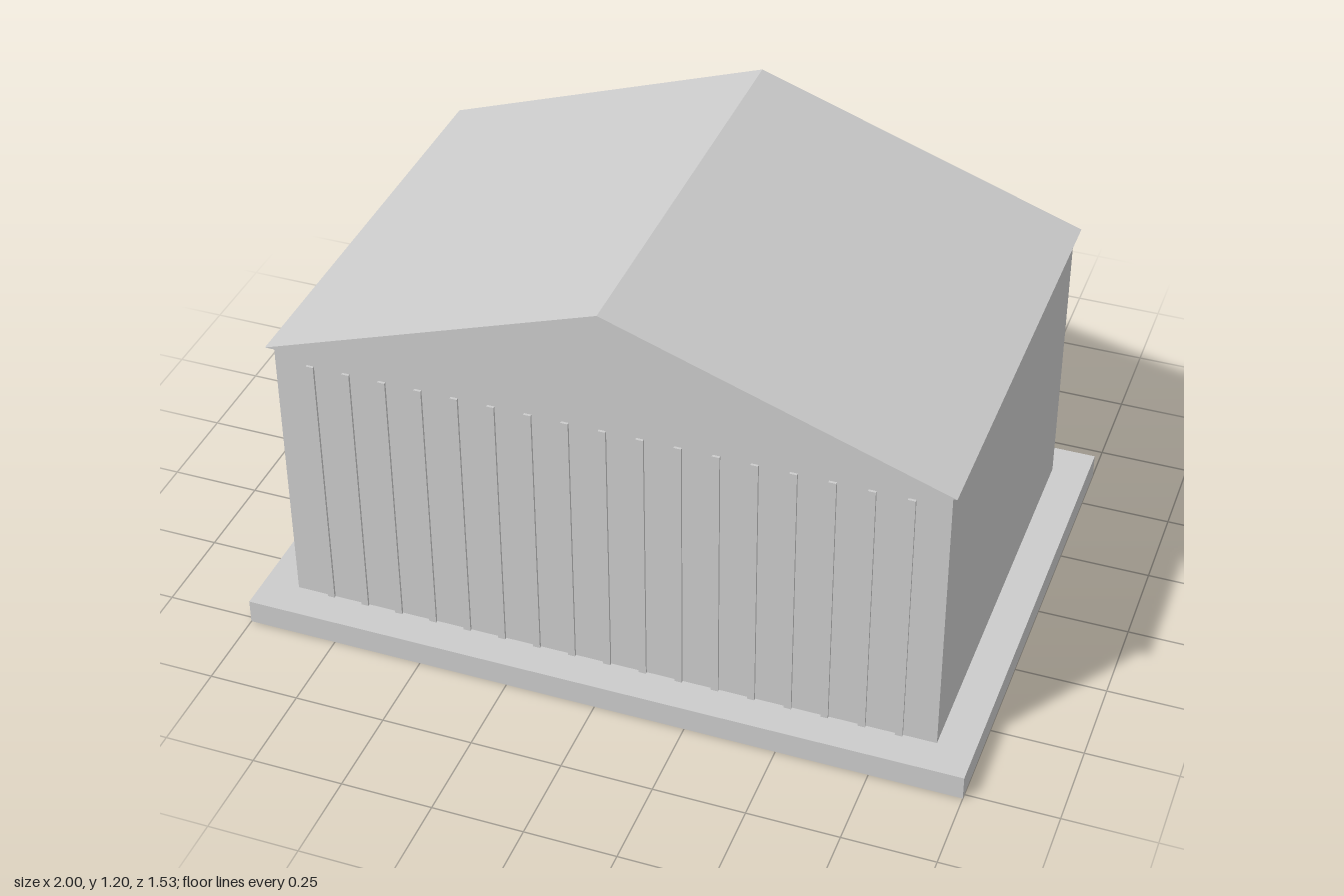
import * as THREE from 'three';

const grey = new THREE.MeshStandardMaterial({ color: 0xcccccc, flatShading: true });
const black = new THREE.MeshStandardMaterial({ color: 0x0a0a0a, flatShading: true });

// Box given by its extents along each axis
function addBox(parent, name, [x0, x1], [y0, y1], [z0, z1], material = grey) {
  const mesh = new THREE.Mesh(new THREE.BoxGeometry(x1 - x0, y1 - y0, z1 - z0), material);
  mesh.position.set((x0 + x1) / 2, (y0 + y1) / 2, (z0 + z1) / 2);
  mesh.name = name;
  parent.add(mesh);
}

function addGroup(parent, name) {
  const group = new THREE.Group();
  group.name = name;
  parent.add(group);
  return group;
}

export function createModel() {
  const model = new THREE.Group();
  model.name = 'shed';
  const frontZ = 0.665, backZ = -0.535;

  // Slab and main body
  addBox(model, 'foundation', [-1, 1], [0, 0.07], [-0.635, 0.765]);
  addBox(model, 'walls', [-0.9, 0.9], [0.07, 0.885], [backZ, frontZ]);

  // Solid gable roof
  const gable = new THREE.Shape([
    new THREE.Vector2(-0.915, 0.883),
    new THREE.Vector2(0.915, 0.883),
    new THREE.Vector2(0, 1.2),
  ]);
  const roof = new THREE.Mesh(
    new THREE.ExtrudeGeometry(gable, { depth: 1.24, bevelEnabled: false }), grey);
  roof.position.z = -0.555;
  roof.name = 'roof';
  model.add(roof);

  // Vertical cladding ribs; the back ones stop at the door
  const ribs = addGroup(model, 'claddingRibs');
  for (let i = -8; i <= 8; i++) {
    const x = [i / 10 - 0.01, i / 10 + 0.01];
    addBox(ribs, 'frontRib', x, [0.07, 0.84], [frontZ - 0.01, frontZ + 0.007]);
    if (Math.abs(i) >= 3) {
      addBox(ribs, 'backRib', x, [0.07, 0.84], [backZ - 0.005, backZ + 0.01]);
    }
  }

  // Windows either side of the door
  for (const side of [-1, 1]) {
    const c = side * 0.56;
    addBox(model, 'window', [c - 0.1, c + 0.1], [0.6, 0.81], [backZ - 0.008, backZ + 0.01], black);
  }

  // Roller door: dark backing, stacked panels and a glazed strip on top
  const door = addGroup(model, 'door');
  addBox(door, 'doorBacking', [-0.28, 0.28], [0.3, 0.883], [backZ - 0.003, backZ + 0.01], black);
  for (let i = 0; i < 6; i++) {
    const y = 0.08 + i * 0.1;
    addBox(door, 'doorPanel', [-0.28, 0.28], [y, y + 0.083], [backZ - 0.009, backZ + 0.01]);
  }
  for (let i = -2; i <= 2; i++) {
    const x = i * 0.09;
    addBox(door, 'glazingBar', [x - 0.005, x + 0.005], [0.67, 0.883], [backZ - 0.006, backZ]);
  }

  // Crates by the door
  addBox(model, 'crate', [-0.41, -0.235], [0.001, 0.18], [-0.765, -0.545]);
  addBox(model, 'crate', [-0.175, 0.005], [0.001, 0.18], [-0.765, -0.585]);

  return model;
}
